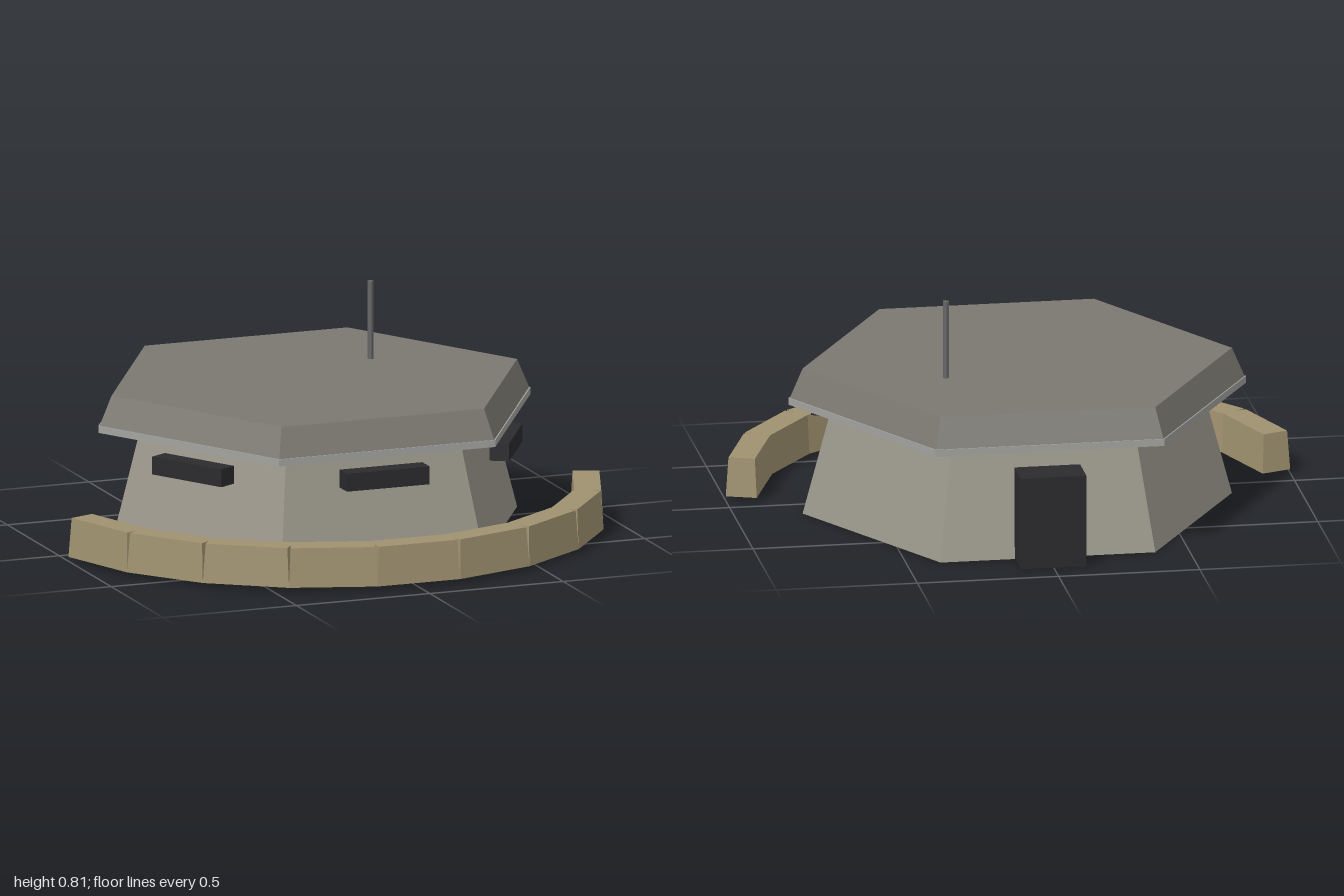
import * as THREE from 'three';

const CENTER_Z = -0.112; // middle of the hexagonal bunker

const paint = (color) => new THREE.MeshStandardMaterial({ color, flatShading: true });

function addMesh(parent, name, geometry, material, x, y, z) {
  const mesh = new THREE.Mesh(geometry, material);
  mesh.name = name;
  mesh.position.set(x, y, z);
  parent.add(mesh);
  return mesh;
}

// Six-sided frustum with corners pointing to +x and -x, from y0 to y1
function addHex(parent, name, rBottom, rTop, y0, y1, material) {
  const geometry = new THREE.CylinderGeometry(rTop, rBottom, y1 - y0, 6, 1, false, Math.PI / 6);
  return addMesh(parent, name, geometry, material, 0, (y0 + y1) / 2, CENTER_Z);
}

// Box whose top face is pulled in evenly by an inset
function taperedBox(width, height, depth, inset) {
  const geometry = new THREE.BoxGeometry(width, height, depth);
  const p = geometry.attributes.position;
  for (let i = 0; i < p.count; i++) {
    if (p.getY(i) > 0) {
      p.setX(i, p.getX(i) - Math.sign(p.getX(i)) * inset);
      p.setZ(i, p.getZ(i) - Math.sign(p.getZ(i)) * inset);
    }
  }
  geometry.computeVertexNormals();
  return geometry;
}

export function createModel() {
  const model = new THREE.Group();
  model.name = 'bunker';
  const concrete = paint(0x9a968a);
  const roofPaint = paint(0x7a7870);
  const rimPaint = paint(0xa3a3a0);
  const dark = paint(0x2b2b2e);
  const metal = paint(0x666666);
  const sand = paint(0xa09270);

  // Sloping walls, eave and roof
  addHex(model, 'walls', 0.76, 0.65, 0, 0.41, concrete);
  addHex(model, 'eave', 0.81, 0.81, 0.4, 0.425, rimPaint);
  addHex(model, 'roof', 0.805, 0.76, 0.425, 0.53, roofPaint);

  // Viewing slits on the three forward walls
  const slitGeometry = new THREE.BoxGeometry(0.31, 0.064, 0.07);
  for (const i of [-1, 0, 1]) {
    const a = i * Math.PI / 3;
    const slit = addMesh(model, 'viewingSlit', slitGeometry, dark,
      Math.sin(a) * 0.677, 0.322, CENTER_Z + Math.cos(a) * 0.677);
    slit.rotation.y = a;
  }

  // Rear door and roof antenna
  addMesh(model, 'rearDoor', new THREE.BoxGeometry(0.232, 0.33, 0.14), dark, 0, 0.165, -0.825);
  addMesh(model, 'antenna', new THREE.CylinderGeometry(0.011, 0.011, 0.285, 6), metal, 0.284, 0.667, -0.302);

  // Arc of sandbags around the front
  const wall = new THREE.Group();
  wall.name = 'sandbagWall';
  model.add(wall);
  const bagGeometry = taperedBox(0.31, 0.14, 0.11, 0.008);
  for (let i = -4; i <= 4; i++) {
    const a = THREE.MathUtils.degToRad(i * 17.5);
    const bag = addMesh(wall, 'sandbag', bagGeometry, sand,
      Math.sin(a) * 0.952, 0.085, CENTER_Z + Math.cos(a) * 0.952);
    bag.rotation.y = a;
  }
  return model;
}
